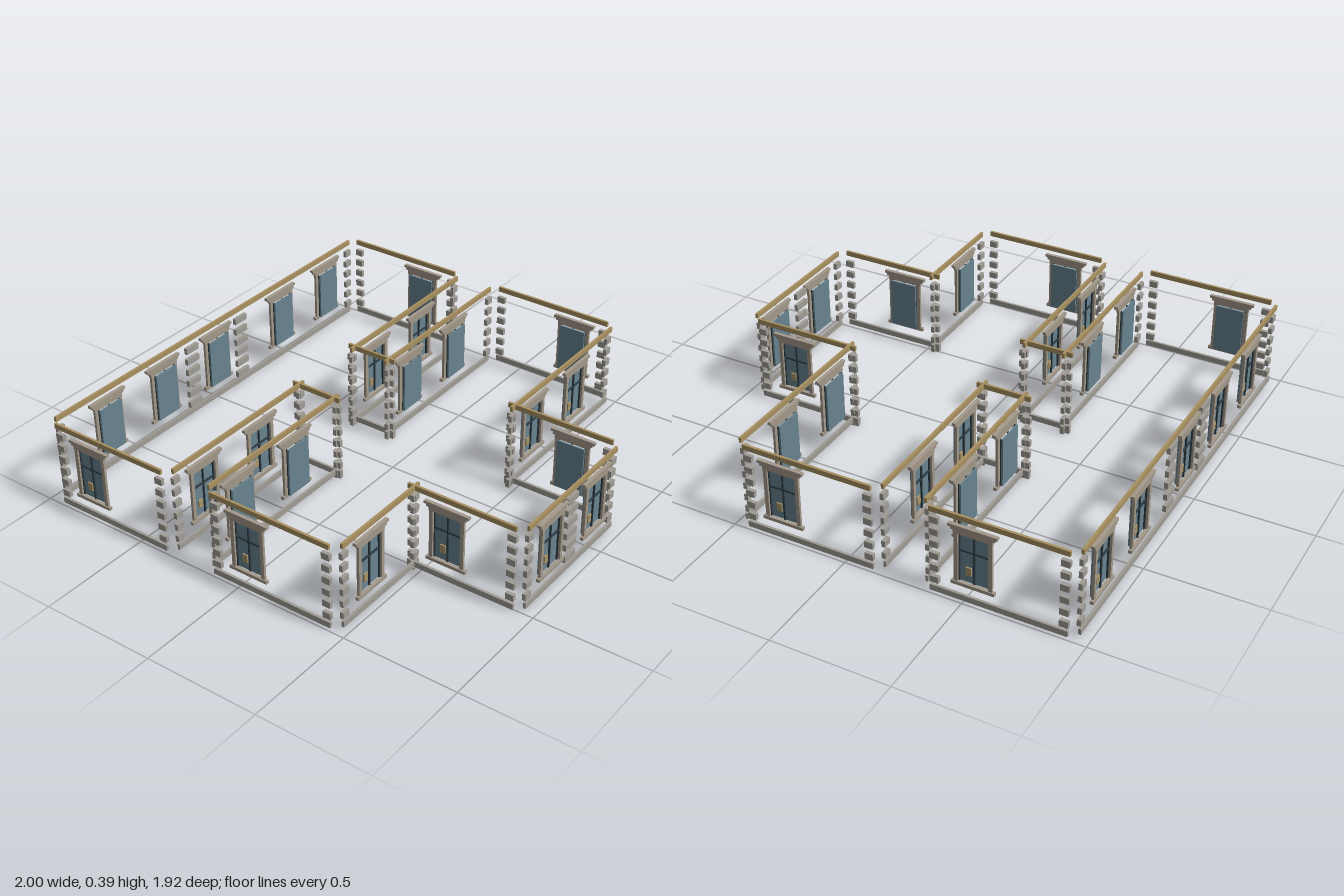
import * as THREE from 'three';

const mat = (c) => new THREE.MeshStandardMaterial({ color: c });
const trimMat = mat(0xa89060), stoneMat = mat(0xa09c94), casingMat = mat(0xa3988a);
const glassMat = mat(0x68828e), barMat = mat(0x2c3a42), ventMat = mat(0xa8946a);

// Box given by its extents; z is the outward direction of the wall
function box(parent, name, m, x0, x1, y0, y1, z0, z1) {
  const mesh = new THREE.Mesh(new THREE.BoxGeometry(x1 - x0, y1 - y0, z1 - z0), m);
  mesh.position.set((x0 + x1) / 2, (y0 + y1) / 2, (z0 + z1) / 2);
  mesh.name = name;
  parent.add(mesh);
}

function makeWindow(u) {
  const g = new THREE.Group();
  g.name = 'window';
  g.position.x = u;
  box(g, 'glass', glassMat, -0.062, 0.062, 0.09, 0.308, -0.019, -0.011);
  // Sash frame and glazing bars
  for (const s of [-1, 1]) {
    box(g, 'sashStile', barMat, s * 0.06 - 0.002, s * 0.06 + 0.002, 0.09, 0.308, -0.011, -0.004);
    box(g, 'sideCasing', casingMat, s * 0.07 - 0.008, s * 0.07 + 0.008, 0.09, 0.312, -0.006, 0.005);
  }
  box(g, 'mullion', barMat, -0.003, 0.003, 0.09, 0.308, -0.011, -0.004);
  box(g, 'transom', barMat, -0.062, 0.062, 0.227, 0.233, -0.011, -0.004);
  box(g, 'vent', ventMat, -0.034, -0.011, 0.125, 0.16, -0.011, -0.005);
  // Sill and stepped head moulding
  box(g, 'sill', casingMat, -0.089, 0.089, 0.079, 0.093, -0.006, 0.009);
  box(g, 'head', casingMat, -0.08, 0.08, 0.307, 0.322, -0.006, 0.006);
  box(g, 'headStep', casingMat, -0.09, 0.09, 0.322, 0.333, -0.006, 0.008);
  box(g, 'headCap', casingMat, -0.1, 0.1, 0.333, 0.345, -0.006, 0.01);
  return g;
}

// Column of separate corner stones
function quoins(parent, x0, x1) {
  for (let i = 0; i < 6; i++) {
    const y = 0.061 + i * 0.0538;
    box(parent, 'quoin', stoneMat, x0, x1, y - 0.014, y + 0.014, -0.012, 0.004);
  }
}

// side: outward facing; at: plane position; a..b: span along the wall
// feet: ends of the span (a or b) that meet an inside corner
function makeWall(side, at, a, b, { windows = [], piers = [], feet = [] }) {
  const g = new THREE.Group();
  g.name = side + 'Wall';
  const c = (a + b) / 2, h = (b - a) / 2;
  const alongX = side === 'front' || side === 'back';
  g.position.set(alongX ? c : at, 0, alongX ? at : c);
  g.rotation.y = { front: 0, left: Math.PI / 2, back: Math.PI, right: -Math.PI / 2 }[side];
  const dir = side === 'front' || side === 'right' ? 1 : -1;

  box(g, 'cornice', trimMat, -h, h, 0.368, 0.39, -0.005, 0.006);
  box(g, 'plinth', stoneMat, -h, h, 0.011, 0.036, -0.005, 0.006);
  quoins(g, -h, -h + 0.036);
  quoins(g, h - 0.036, h);
  for (const p of piers) quoins(g, dir * (p - c) - 0.037, dir * (p - c) + 0.037);
  for (const w of windows) g.add(makeWindow(dir * (w - c)));
  // Foot stones under the inside corners
  for (const f of feet) {
    const u = Math.sign(f - c) * dir * (h - 0.018);
    box(g, 'cornerFoot', stoneMat, u - 0.018, u + 0.018, 0, 0.037, -0.012, 0.006);
  }
  return g;
}

export function createModel() {
  const model = new THREE.Group();
  model.name = 'buildingFacades';
  const west = [-0.79, -0.45], east = [0.335, 0.67];
  const walls = [
    // Rear block
    ['back', -0.954, -0.962, 0.962, { windows: [-0.675, -0.34, 0, 0.447, 0.78], piers: [-0.163, 0.158] }],
    ['right', -0.99, -0.923, -0.364, { windows: [-0.748] }],
    ['left', 0.99, -0.923, -0.364, { windows: [-0.543] }],
    ['front', -0.333, -0.962, -0.165, { windows: west, feet: [-0.165] }],
    ['front', -0.333, 0.158, 0.962, { windows: east, feet: [0.158] }],
    // Connecting passage
    ['right', -0.19, -0.364, -0.126, { feet: [-0.364, -0.126] }],
    ['left', 0.187, -0.364, -0.126, { feet: [-0.364, -0.126] }],
    // Middle block
    ['back', -0.153, -0.962, -0.165, { windows: west, feet: [-0.165] }],
    ['back', -0.153, 0.158, 0.962, { windows: east, feet: [0.158] }],
    ['right', -0.99, -0.122, 0.437, { windows: [0.052] }],
    ['left', 0.99, -0.122, 0.437, { windows: [0.272] }],
    ['front', 0.469, -0.962, -0.485, { windows: [-0.787], feet: [-0.485] }],
    ['front', 0.469, 0.158, 0.962, { windows: east, feet: [0.158] }],
    // Front wing
    ['right', -0.51, 0.44, 0.919, { windows: [0.617], feet: [0.44] }],
    ['left', 0.187, 0.44, 0.919, { windows: [0.742], feet: [0.44] }],
    ['front', 0.95, -0.483, 0.158, { windows: [-0.307, 0.013], piers: [-0.163] }],
  ];
  for (const w of walls) model.add(makeWall(...w));
  return model;
}
